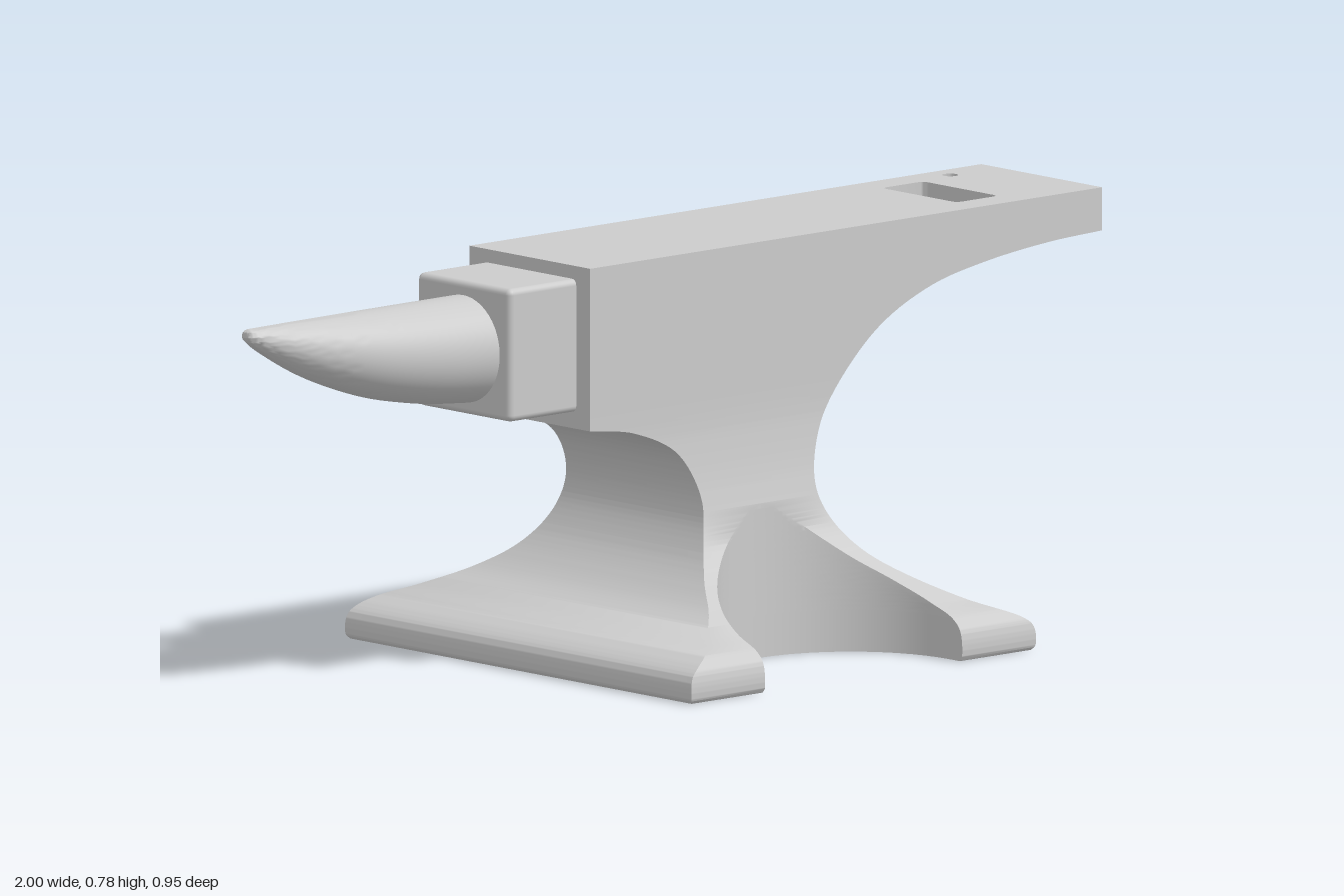
import * as THREE from 'three';
import { toCreasedNormals } from 'three/addons/utils/BufferGeometryUtils.js';
import { RoundedBoxGeometry } from 'three/addons/geometries/RoundedBoxGeometry.js';

const HALF_WIDTH = 0.166, PLATE_Y = 0.695, TOP_Y = 0.776;
const NOTCH = { x: 0.12, z: 0.44, r: 0.247 };

// Smooth curve through [offset, height] pairs, rising in height
const curve = (pairs) => new THREE.CatmullRomCurve3(
  pairs.map(([v, y]) => new THREE.Vector3(v, y, 0))).getPoints(90);

// Offset of a sampled curve at height y
function offsetAt(points, y) {
  const i = points.findIndex((p) => p.y >= y);
  if (i < 0) return points[points.length - 1].x;
  if (i === 0) return points[0].x;
  const a = points[i - 1], b = points[i];
  return a.x + (b.x - a.x) * (y - a.y) / (b.y - a.y || 1);
}

const leftEdge = curve([[-0.305, 0], [-0.311, 0.008], [-0.308, 0.045], [-0.29, 0.062], [-0.2, 0.1],
  [-0.12, 0.142], [-0.05, 0.22], [-0.022, 0.31], [-0.065, 0.4], [-0.17, 0.452], [-0.283, 0.47]]);
const rightEdge = curve([[0.545, 0], [0.551, 0.008], [0.548, 0.045], [0.53, 0.062], [0.44, 0.102],
  [0.33, 0.18], [0.28, 0.25], [0.262, 0.31], [0.283, 0.4], [0.33, 0.475], [0.44, 0.58], [0.57, 0.642],
  [0.705, 0.671], [0.865, 0.689], [1, PLATE_Y]]);
const halfDepth = curve([[0.469, 0], [0.475, 0.008], [0.471, 0.055], [0.452, 0.076], [0.396, 0.1],
  [0.32, 0.137], [0.256, 0.18], [0.21, 0.24], [0.185, 0.32], [0.17, 0.41], [HALF_WIDTH, 0.46],
  [HALF_WIDTH, PLATE_Y]]);

// Closed outline at height y, with a round notch in front and back
function section(y) {
  const w = offsetAt(halfDepth, y), steps = 28;
  const start = Math.asin(THREE.MathUtils.clamp((NOTCH.z - w) / NOTCH.r, 0, 1));
  const reach = NOTCH.r * Math.cos(start);
  const front = [[offsetAt(leftEdge, y), w], [NOTCH.x - reach, w]];
  for (let i = 0; i <= steps; i++) {
    const t = start + (Math.PI - 2 * start) * i / steps;
    front.push([NOTCH.x - NOTCH.r * Math.cos(t), Math.min(w, NOTCH.z - NOTCH.r * Math.sin(t))]);
  }
  front.push([NOTCH.x + reach, w], [offsetAt(rightEdge, y), w]);
  const back = front.map(([x, z]) => [x, -z]).reverse();
  return [...front, ...back].map(([x, z]) => new THREE.Vector3(x, y, z));
}

// Foot, waist and heel lofted from the outlines
function bodyGeometry() {
  const heights = [...leftEdge, ...rightEdge, ...halfDepth]
    .map((p) => THREE.MathUtils.clamp(p.y, 0, PLATE_Y)).sort((a, b) => a - b);
  const levels = heights.filter((y, i) => i === 0 || y - heights[i - 1] > 0.0002);
  levels[levels.length - 1] = PLATE_Y;
  const rows = levels.map(section), data = [];
  const triangle = new THREE.Triangle();
  const add = (a, b, c) => {
    if (triangle.set(a, b, c).getArea() > 1e-9) for (const p of [a, b, c]) data.push(p.x, p.y, p.z);
  };
  for (let i = 0; i < rows.length - 1; i++) {
    const low = rows[i], high = rows[i + 1];
    low.forEach((p, j) => {
      const k = (j + 1) % low.length;
      add(p, low[k], high[k]);
      add(p, high[k], high[j]);
    });
  }
  const cap = (row, up) => {
    const flat = row.map((p) => new THREE.Vector2(p.x, -p.z));
    for (const [a, b, c] of THREE.ShapeUtils.triangulateShape(flat, [])) {
      if (up) add(row[a], row[b], row[c]);
      else add(row[a], row[c], row[b]);
    }
  };
  cap(rows[0], false);
  cap(rows[rows.length - 1], true);
  const geometry = new THREE.BufferGeometry();
  geometry.setAttribute('position', new THREE.Float32BufferAttribute(data, 3));
  return toCreasedNormals(geometry, 0.6);
}

// Flat working face with a square hole and a small round hole
function faceGeometry() {
  const shape = new THREE.Shape();
  shape.moveTo(-0.283, -HALF_WIDTH).lineTo(1, -HALF_WIDTH).lineTo(1, HALF_WIDTH).lineTo(-0.283, HALF_WIDTH);
  const x0 = 0.693, x1 = 0.797, z = 0.103, r = 0.015;
  const square = new THREE.Path();
  square.moveTo(x0 + r, -z).lineTo(x1 - r, -z).quadraticCurveTo(x1, -z, x1, -z + r)
    .lineTo(x1, z - r).quadraticCurveTo(x1, z, x1 - r, z)
    .lineTo(x0 + r, z).quadraticCurveTo(x0, z, x0, z - r)
    .lineTo(x0, -z + r).quadraticCurveTo(x0, -z, x0 + r, -z);
  const round = new THREE.Path().absarc(0.88, 0.12, 0.015, 0, Math.PI * 2);
  shape.holes.push(square, round);
  const geometry = new THREE.ExtrudeGeometry(shape, {
    depth: TOP_Y - PLATE_Y, bevelEnabled: false, curveSegments: 10 });
  return toCreasedNormals(geometry.rotateX(-Math.PI / 2).translate(0, PLATE_Y, 0), 0.6);
}

// Round tapering horn, sheared so that its top stays level
function hornGeometry() {
  const profile = new THREE.SplineCurve([[0.101, 0.43], [0.1, 0.47], [0.094, 0.58], [0.08, 0.71],
    [0.055, 0.845], [0.027, 0.95], [0.012, 0.992], [0, 1]]
    .map(([r, h]) => new THREE.Vector2(r, h))).getPoints(48);
  profile.forEach((p) => { p.x = Math.max(p.x, 0); p.y = Math.min(p.y, 1); });
  const geometry = new THREE.LatheGeometry(profile, 48).rotateZ(Math.PI / 2);
  const pos = geometry.attributes.position;
  for (let i = 0; i < pos.count; i++) {
    const r = Math.hypot(pos.getY(i), pos.getZ(i));
    pos.setY(i, pos.getY(i) + 0.725 - Math.max(r, 0.013));
  }
  return toCreasedNormals(geometry, 0.8);
}

export function createModel() {
  const group = new THREE.Group();
  const material = new THREE.MeshStandardMaterial({ color: 0xcccccc });
  const add = (name, geometry) => {
    const mesh = new THREE.Mesh(geometry, material);
    mesh.name = name;
    group.add(mesh);
  };
  add('body', bodyGeometry());
  add('face', faceGeometry());
  // Step between the face and the horn
  add('step', new RoundedBoxGeometry(0.2, 0.25, 0.256, 3, 0.012).translate(-0.35, 0.626, 0));
  add('horn', hornGeometry());
  return group;
}
